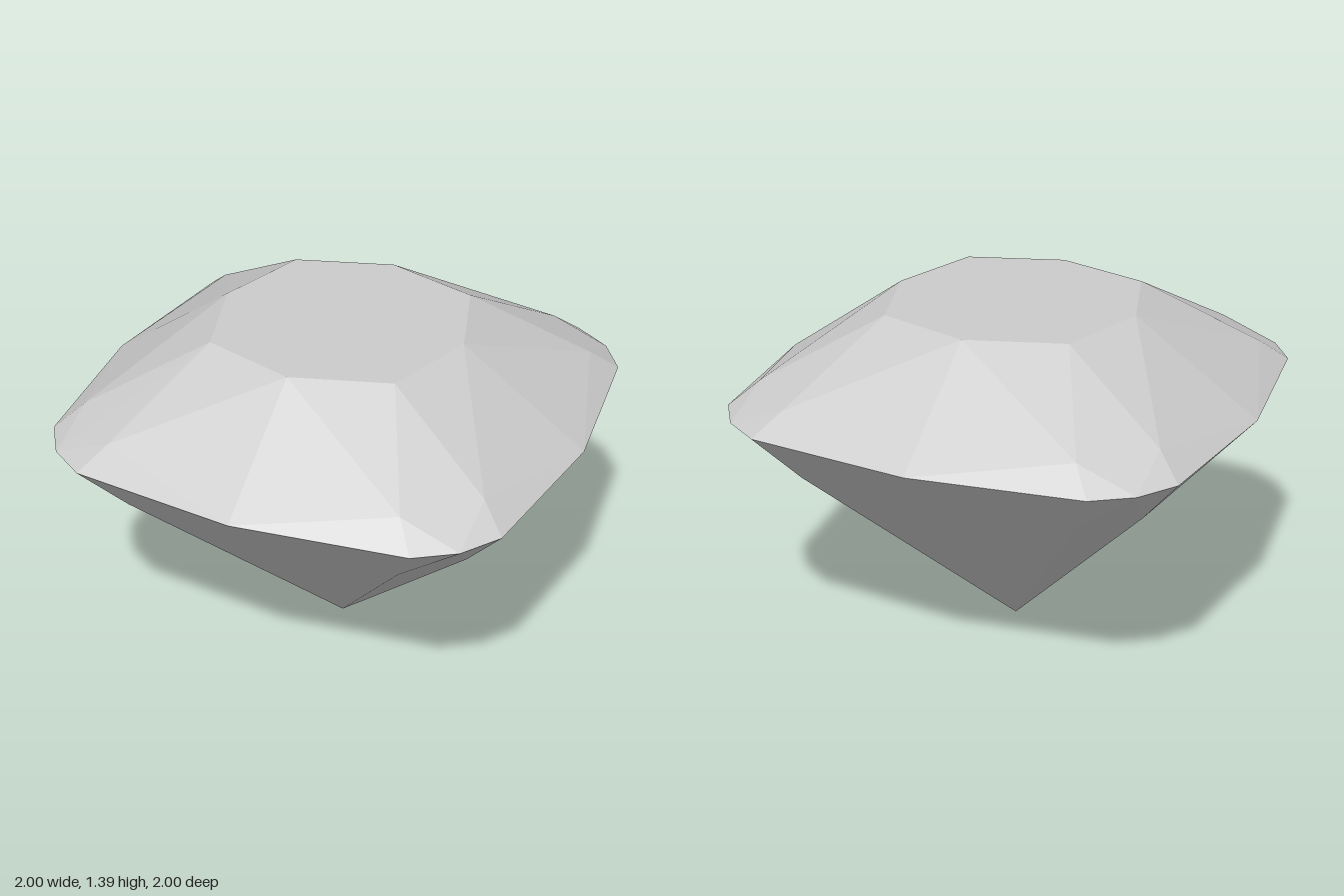
import * as THREE from 'three';

// Points of one eighth of the stone, from the +x axis round to the corner diagonal
const P = {
  top: [0, 1.39, 0], t0: [0.5, 1.39, 0], t1: [0.38, 1.39, 0.38], // table
  c: [0.82, 1.13, 0.59], // crown facet junction
  g0: [1, 1.04, 0], g1: [0.92, 1.04, 0.67], g2: [0.82, 1.04, 0.82], // girdle
  p: [0.75, 0.83, 0.56], // pavilion facet junction
  tip: [0, 0, 0],
};

const FACETS = {
  table: [['top', 't0', 't1']],
  crown: [
    ['t0', 'c', 't1'], ['t0', 'c', 'g0'], ['t1', 'c', 'g2'],
    ['g0', 'c', 'g1'], ['g1', 'c', 'g2'],
  ],
  pavilion: [
    ['tip', 'p', 'g0'], ['tip', 'p', 'g2'],
    ['g0', 'p', 'g1'], ['g1', 'p', 'g2'],
  ],
};

const CENTRE = new THREE.Vector3(0, 0.95, 0);

// Repeat the facets in all eight mirrored sectors, each facing outward
function facetGeometry(facets) {
  const positions = [];
  for (const sx of [1, -1]) for (const sz of [1, -1]) for (const swap of [false, true]) {
    for (const names of facets) {
      const [a, b, c] = names.map((n) => {
        const [x, y, z] = P[n];
        return new THREE.Vector3(sx * (swap ? z : x), y, sz * (swap ? x : z));
      });
      const normal = b.clone().sub(a).cross(c.clone().sub(a));
      const outward = normal.dot(a.clone().sub(CENTRE)) > 0;
      for (const v of outward ? [a, b, c] : [a, c, b]) positions.push(v.x, v.y, v.z);
    }
  }
  const geometry = new THREE.BufferGeometry();
  geometry.setAttribute('position', new THREE.Float32BufferAttribute(positions, 3));
  geometry.computeVertexNormals();
  return geometry;
}

export function createModel() {
  const group = new THREE.Group();
  group.name = 'cushionCutGem';
  const material = new THREE.MeshStandardMaterial({ color: 0xcccccc, flatShading: true });
  for (const [name, facets] of Object.entries(FACETS)) {
    const mesh = new THREE.Mesh(facetGeometry(facets), material);
    mesh.name = name;
    group.add(mesh);
  }
  return group;
}
